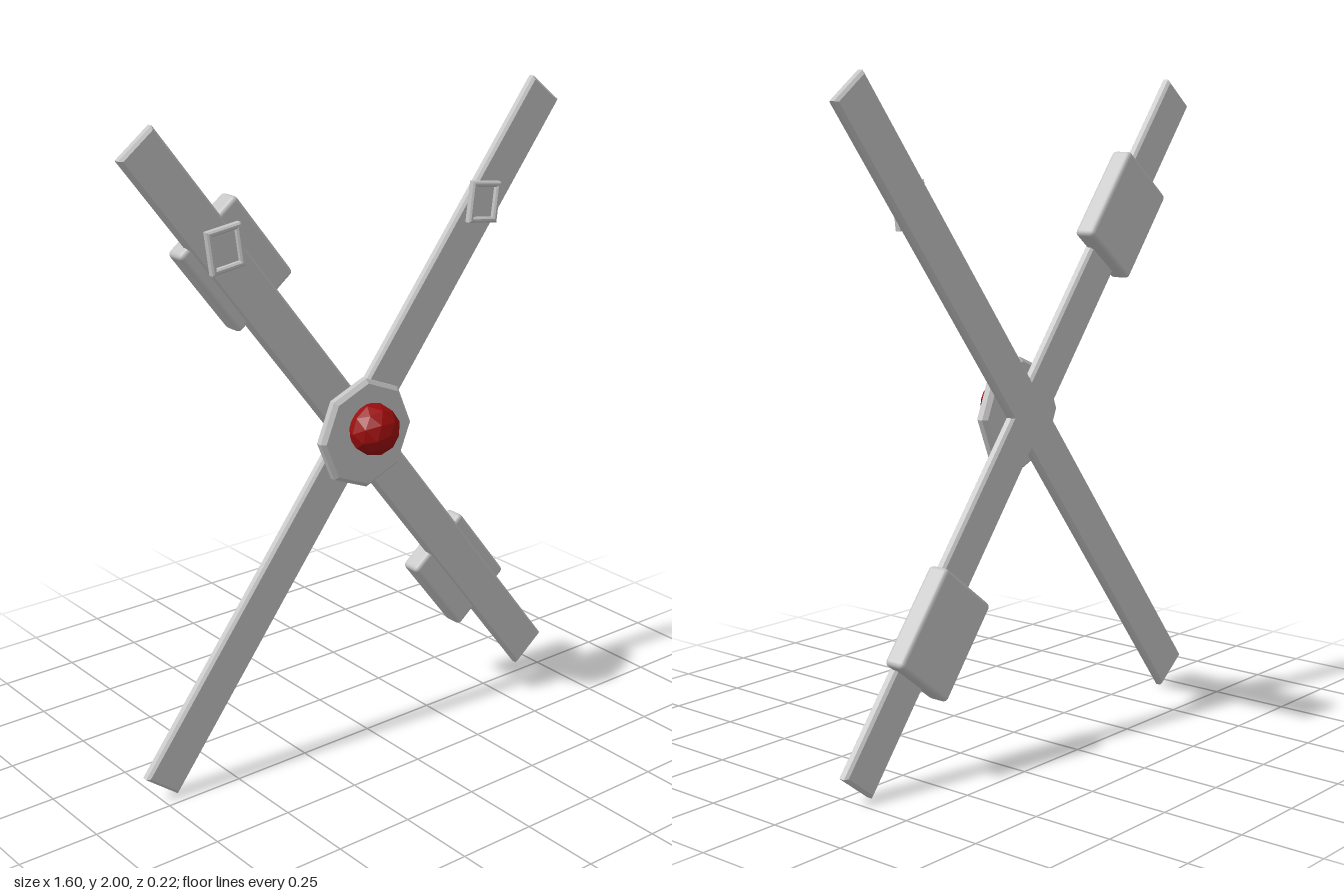
import * as THREE from 'three';
import { RoundedBoxGeometry } from 'three/addons/geometries/RoundedBoxGeometry.js';

const ARM_ANGLE = Math.atan2(0.96, 0.745);

function polygon(points) {
  return new THREE.Shape(points.map(([x, y]) => new THREE.Vector2(x, y)));
}

function rectangle(w, h) {
  return polygon([[-w / 2, -h / 2], [w / 2, -h / 2], [w / 2, h / 2], [-w / 2, h / 2]]);
}

// Flat plate with chamfered edges, spanning z from back to front
function plate(shape, back, front, bevel) {
  const geometry = new THREE.ExtrudeGeometry(shape, {
    depth: front - back - 2 * bevel,
    bevelThickness: bevel,
    bevelSize: bevel,
    bevelOffset: -bevel,
    bevelSegments: 1,
  });
  return geometry.translate(0, 0, back + bevel);
}

export function createModel() {
  const model = new THREE.Group();
  model.name = 'crossedArms';

  const grey = new THREE.MeshStandardMaterial({ color: 0xc4c4c4 });
  grey.name = 'lightGrey';
  const red = new THREE.MeshStandardMaterial({ color: 0x9a0c0c, flatShading: true });
  red.name = 'darkRed';

  function add(name, geometry, material, x, y, z = 0, turn = 0, parent = model) {
    const mesh = new THREE.Mesh(geometry, material);
    mesh.name = name;
    mesh.position.set(x, y, z);
    mesh.rotation.z = turn;
    parent.add(mesh);
    return mesh;
  }

  // Two long crossed arms
  const armGeometry = plate(rectangle(2.432, 0.136), -0.07, -0.037, 0.008);
  for (const side of [1, -1]) {
    add(side > 0 ? 'risingArm' : 'fallingArm', armGeometry, grey, 0, 1, 0, side * ARM_ANGLE);
  }

  // Rounded pads behind the falling arm
  const padGeometry = new RoundedBoxGeometry(0.318, 0.244, 0.07, 2, 0.014);
  for (const side of [1, -1]) {
    add(side > 0 ? 'lowerPad' : 'upperPad', padGeometry, grey,
      side * 0.427, 1 - side * 0.582, -0.077, -ARM_ANGLE);
  }

  // Octagonal hub with a red ball
  const octagon = polygon(Array.from({ length: 8 }, (_, i) => {
    const a = (i * Math.PI) / 4;
    return [0.173 * Math.cos(a), 0.173 * Math.sin(a)];
  }));
  add('hub', plate(octagon, -0.035, 0.007, 0.012), grey, 0, 1);
  const ballGeometry = new THREE.IcosahedronGeometry(0.081, 1)
    .rotateX(Math.atan(2 / (1 + Math.sqrt(5))));
  add('ball', ballGeometry, red, 0, 1.023, 0.031);

  // Small square frames on the upper arms, each with a recessed floor
  const frameShape = rectangle(0.115, 0.127);
  frameShape.holes.push(new THREE.Path(rectangle(0.082, 0.094).getPoints().reverse()));
  const frameGeometry = plate(frameShape, -0.042, -0.016, 0.005);
  const floorGeometry = new THREE.BoxGeometry(0.1, 0.112, 0.008);
  for (const side of [1, -1]) {
    const bracket = new THREE.Group();
    bracket.name = side > 0 ? 'leftBracket' : 'rightBracket';
    bracket.position.set(side * 0.48, 1.64, 0);
    bracket.rotation.z = -side * 0.13;
    model.add(bracket);
    add('frame', frameGeometry, grey, 0, 0, 0, 0, bracket);
    add('frameFloor', floorGeometry, grey, 0, 0, -0.036, 0, bracket);
  }

  return model;
}
